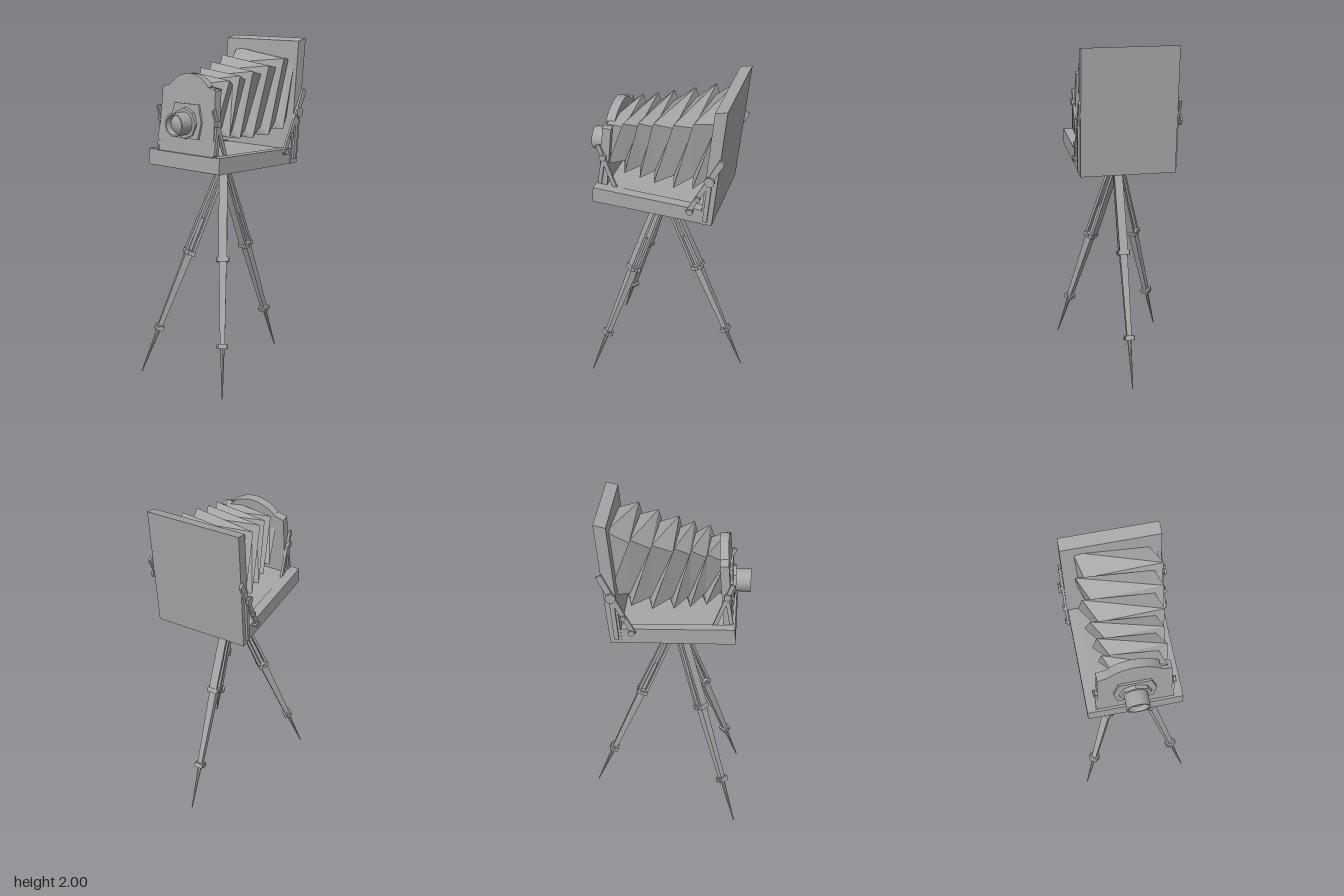
import * as THREE from 'three';

const V = (x, y, z) => new THREE.Vector3(x, y, z);
const mat = new THREE.MeshStandardMaterial({ color: 0xa6a6a6, flatShading: true, side: THREE.DoubleSide });
const smooth = new THREE.MeshStandardMaterial({ color: 0xa6a6a6, side: THREE.DoubleSide });

function add(parent, geo, name, x = 0, y = 0, z = 0, material = mat) {
  const m = new THREE.Mesh(geo, material);
  m.name = name;
  m.position.set(x, y, z);
  parent.add(m);
  return m;
}

function polygon(points) {
  return new THREE.Shape(points.map(([a, b]) => new THREE.Vector2(a, b)));
}

// Side profile given as (z, y), extruded symmetrically across x
function sideSlab(points, width) {
  const geo = new THREE.ExtrudeGeometry(polygon(points), { depth: width, bevelEnabled: false });
  return geo.translate(0, 0, -width / 2).rotateY(-Math.PI / 2);
}

// Flat strap lying in a plane of constant x, between two (z, y) points
function strap(parent, name, x, [z1, y1], [z2, y2], width = 0.028) {
  const len = Math.hypot(z2 - z1, y2 - y1);
  const m = add(parent, new THREE.BoxGeometry(0.014, len + width * 0.6, width), name, x, (y1 + y2) / 2, (z1 + z2) / 2);
  m.rotation.x = Math.atan2(z2 - z1, y2 - y1);
}

function knob(parent, name, x, y, z, r, len) {
  add(parent, new THREE.CylinderGeometry(r, r, len, 10).rotateZ(Math.PI / 2), name, x, y, z);
}

// Twisted pleats: every ridge steps one fold forward from each corner to the next
function bellowsGeometry() {
  // z, left x, right x, bottom y, top y of the ridges
  const planes = [
    [-0.325, -0.205, 0.25, 1.53, 1.93], [-0.195, -0.215, 0.258, 1.48, 1.89],
    [-0.08, -0.20, 0.24, 1.455, 1.855], [0.04, -0.18, 0.22, 1.45, 1.83],
    [0.13, -0.162, 0.20, 1.455, 1.81], [0.22, -0.155, 0.20, 1.47, 1.79],
    [0.325, -0.15, 0.18, 1.50, 1.76],
  ];
  // Corners clockwise from top left: column of x, column of y, where the valley lies in a fold
  const corners = [[1, 4, 0.92], [2, 4, 0.1], [2, 3, 0.1], [1, 3, 0.92]];
  const last = (planes.length - 1) * 2;
  const depth = 0.048;
  const point = ([cx, cy, f], step) => {
    const m = Math.min(Math.max(step, 0), last);
    const a = planes[Math.floor(m / 2)], b = planes[Math.ceil(m / 2)];
    const at = (i) => a[i] + (b[i] - a[i]) * f;
    const inset = m % 2 ? depth : 0;
    return V(at(cx) + (cx === 1 ? inset : -inset), at(cy) + (cy === 3 ? inset : -inset), at(0));
  };
  const pts = [];
  corners.forEach((c, i) => {
    const d = corners[(i + 1) % 4];
    for (let m = -2; m < last; m++) {
      const p = point(c, m), q = point(c, m + 1), r = point(d, m + 2), s = point(d, m + 3);
      pts.push(p, q, r, q, s, r);
    }
  });
  const geo = new THREE.BufferGeometry().setFromPoints(pts);
  geo.computeVertexNormals();
  return geo;
}

// One leg, built along local y from the foot, local z pointing outwards
function makeLeg(name, foot) {
  const top = V(0, 1.26, 0.045);
  const up = top.clone().sub(foot);
  const L = up.length();
  up.normalize();
  const out = V(foot.x, 0, foot.z - top.z).normalize();
  const tangent = up.clone().cross(out).normalize();
  const leg = new THREE.Group();
  leg.name = name;
  leg.position.copy(foot);
  leg.quaternion.setFromRotationMatrix(new THREE.Matrix4().makeBasis(tangent, up, tangent.clone().cross(up)));

  const low = L * 0.22, mid = L * 0.59;
  add(leg, new THREE.CylinderGeometry(0.013, 0.003, low, 8), 'legSpike', 0, low / 2);
  add(leg, new THREE.CylinderGeometry(0.031, 0.02, mid - low, 4).rotateY(Math.PI / 4), 'lowerLeg', 0, (low + mid) / 2);
  for (const s of [-1, 1]) {
    const bar = add(leg, new THREE.BoxGeometry(0.05, L - mid, 0.016), 'upperLegBar', 0, (L + mid) / 2, s * 0.02);
    bar.rotation.x = -s * 0.012;
  }
  add(leg, new THREE.BoxGeometry(0.02, (L - mid) * 0.4, 0.02), 'slidingRod', 0, mid + (L - mid) * 0.2);
  // Clamps with thumb screws
  for (const [y, w] of [[mid, 0.066], [low, 0.052]]) {
    add(leg, new THREE.BoxGeometry(w, 0.028, w), 'legClamp', 0, y);
    add(leg, new THREE.CylinderGeometry(0.012, 0.012, w + 0.014, 8).rotateZ(Math.PI / 2), 'clampScrew', 0, y);
  }
  return leg;
}

export function createModel() {
  const model = new THREE.Group();
  model.name = 'bellowsCameraOnTripod';

  // Camera bed with side rails
  add(model, sideSlab([[-0.31, 1.265], [0.385, 1.287], [0.394, 1.29], [0.388, 1.378], [-0.29, 1.35]], 0.54), 'bed');
  for (const s of [-1, 1]) {
    add(model, sideSlab([[-0.25, 1.34], [0.385, 1.36], [0.387, 1.382], [-0.25, 1.358]], 0.055), 'bedRail', s * 0.2425);
  }

  // Leaning rear standard
  add(model, sideSlab([[-0.312, 1.266], [-0.245, 1.266], [-0.315, 1.985], [-0.383, 2.0]], 0.546), 'rearStandard');

  add(model, bellowsGeometry(), 'bellows');

  // Front standard with an arched top, leaning back
  const front = new THREE.Group();
  front.name = 'frontStandard';
  front.position.set(0, 1.36, 0.375);
  front.rotation.x = -0.09;
  model.add(front);
  const outline = polygon([[-0.21, 0], [0.21, 0], [0.2, 0.385], [0.145, 0.4]]);
  outline.quadraticCurveTo(0.09, 0.465, 0, 0.47);
  outline.quadraticCurveTo(-0.09, 0.465, -0.145, 0.4);
  outline.lineTo(-0.2, 0.385);
  const board = new THREE.ExtrudeGeometry(outline, { depth: 0.05, bevelEnabled: false, curveSegments: 8 });
  add(front, board, 'frontBoard', 0, 0, -0.05);
  const plate = polygon([[-0.1, -0.085], [0.1, -0.085], [0.118, 0.01], [0.09, 0.11], [-0.09, 0.11], [-0.118, 0.01]]);
  add(front, new THREE.ExtrudeGeometry(plate, { depth: 0.014, bevelEnabled: false }), 'lensBoard', 0, 0.19, -0.002);

  // Lens barrel with flange and recessed glass
  add(model, new THREE.CylinderGeometry(0.088, 0.092, 0.03, 8).rotateX(Math.PI / 2), 'lensFlange', 0, 1.55, 0.368);
  const barrel = [[0.064, 0.34], [0.066, 0.465], [0.056, 0.465], [0.05, 0.435]];
  for (let i = 0; i < barrel.length - 1; i++) {
    const pair = [barrel[i], barrel[i + 1]].map(([r, z]) => new THREE.Vector2(r, z));
    add(model, new THREE.LatheGeometry(pair, 32).rotateX(Math.PI / 2), 'lensBarrel', 0, 1.55, 0, smooth);
  }
  const glass = new THREE.SphereGeometry(0.08, 24, 6, 0, Math.PI * 2, 0, Math.asin(0.05 / 0.08));
  glass.rotateX(Math.PI / 2);
  add(model, glass, 'lensGlass', 0, 1.55, 0.435 - Math.sqrt(0.08 ** 2 - 0.05 ** 2), smooth);

  // Folding struts and knobs on both sides
  for (const s of [-1, 1]) {
    strap(model, 'rearStrut', s * 0.281, [-0.18, 1.345], [-0.3, 1.575], 0.028);
    strap(model, 'rearStrutUpper', s * 0.281, [-0.29, 1.55], [-0.36, 1.69], 0.034);
    strap(model, 'rearHinge', s * 0.279, [-0.275, 1.3], [-0.3, 1.575], 0.026);
    knob(model, 'rearStrutPin', s * 0.284, 1.345, -0.19, 0.018, 0.024);
    knob(model, 'rearKnobShaft', s * 0.288, 1.57, -0.3, 0.014, 0.03);
    knob(model, 'rearKnob', s * 0.298, 1.57, -0.3, 0.03, 0.012);
    knob(model, 'strutPin', s * 0.288, 1.44, -0.235, 0.016, 0.02);
    strap(model, 'frontStrut', s * 0.212, [0.365, 1.63], [0.275, 1.375], 0.024);
    strap(model, 'frontHinge', s * 0.212, [0.365, 1.39], [0.335, 1.57], 0.022);
    knob(model, 'frontKnob', s * 0.217, 1.56, 0.34, 0.02, 0.022);
  }

  // Mounting plate and tripod
  add(model, new THREE.CylinderGeometry(0.137, 0.137, 0.026, 32), 'mountPlate', 0, 1.266, 0.042);
  model.add(makeLeg('frontLeftLeg', V(0.325, 0, 0.432)));
  model.add(makeLeg('frontRightLeg', V(-0.325, 0, 0.432)));
  model.add(makeLeg('backLeg', V(0, 0, -0.465)));
  return model;
}
